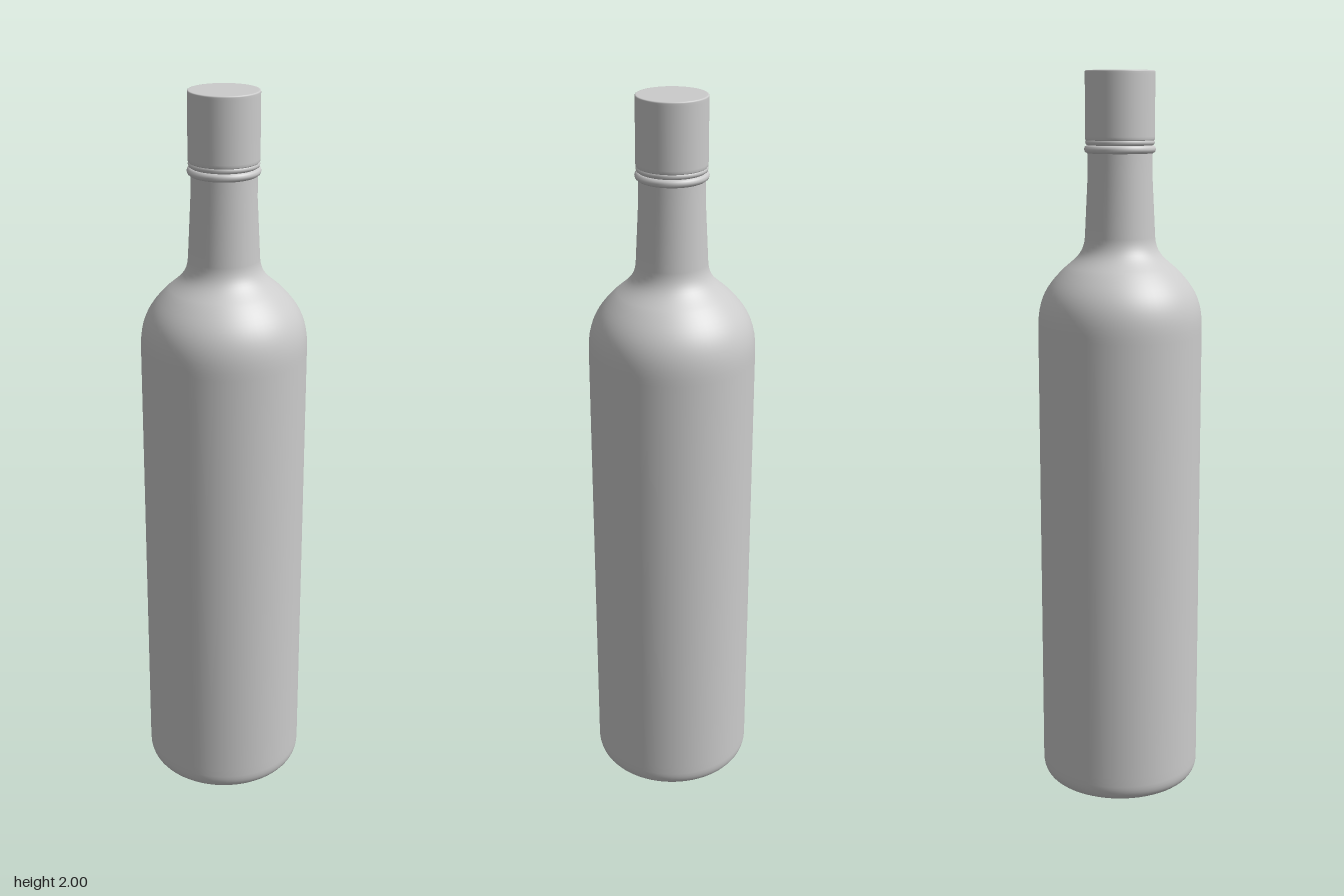
import * as THREE from 'three';

const material = new THREE.MeshStandardMaterial({ color: 0xcccccc });

// Revolve a path, running from the bottom up, around the y axis
function turned(name, path, divisions = 10) {
  const points = path.getPoints(divisions);
  const mesh = new THREE.Mesh(new THREE.LatheGeometry(points, 64), material);
  mesh.name = name;
  return mesh;
}

export function createModel() {
  const bottle = new THREE.Group();
  bottle.name = 'bottle';

  // Flat base, rounded heel, straight wall, curved shoulder and slim neck
  const body = new THREE.Path();
  body.moveTo(0, 0.005);
  body.lineTo(0.16, 0.005);
  body.lineTo(0.18, 0.005);
  body.bezierCurveTo(0.207, 0.005, 0.224, 0.02, 0.224, 0.055);
  body.lineTo(0.224, 0.08);
  body.lineTo(0.224, 1.31);
  body.lineTo(0.224, 1.33);
  body.bezierCurveTo(0.223, 1.405, 0.198, 1.44, 0.155, 1.483);
  body.bezierCurveTo(0.122, 1.512, 0.098, 1.525, 0.095, 1.57);
  body.lineTo(0.087, 1.73);
  body.lineTo(0.086, 1.84);
  bottle.add(turned('glassBody', body));

  // Two thin beads below the cap
  for (const [name, y, radius, tube] of [['neckBead', 1.797, 0.085, 0.011], ['capBead', 1.815, 0.084, 0.009]]) {
    const bead = new THREE.Mesh(new THREE.TorusGeometry(radius, tube, 10, 64), material);
    bead.name = name;
    bead.rotation.x = Math.PI / 2;
    bead.position.y = y;
    bottle.add(bead);
  }

  // Cylindrical cap with a tight top edge
  const cap = new THREE.Path();
  cap.moveTo(0.08, 1.82);
  cap.lineTo(0.091, 1.82);
  cap.lineTo(0.093, 1.823);
  cap.lineTo(0.093, 1.83);
  cap.lineTo(0.093, 1.99);
  cap.lineTo(0.093, 1.996);
  cap.quadraticCurveTo(0.093, 2, 0.089, 2);
  cap.lineTo(0.084, 2);
  cap.lineTo(0, 2);
  bottle.add(turned('cap', cap, 4));

  // Rest the base on the ground
  bottle.children[0].position.y = -0.005;
  return bottle;
}
